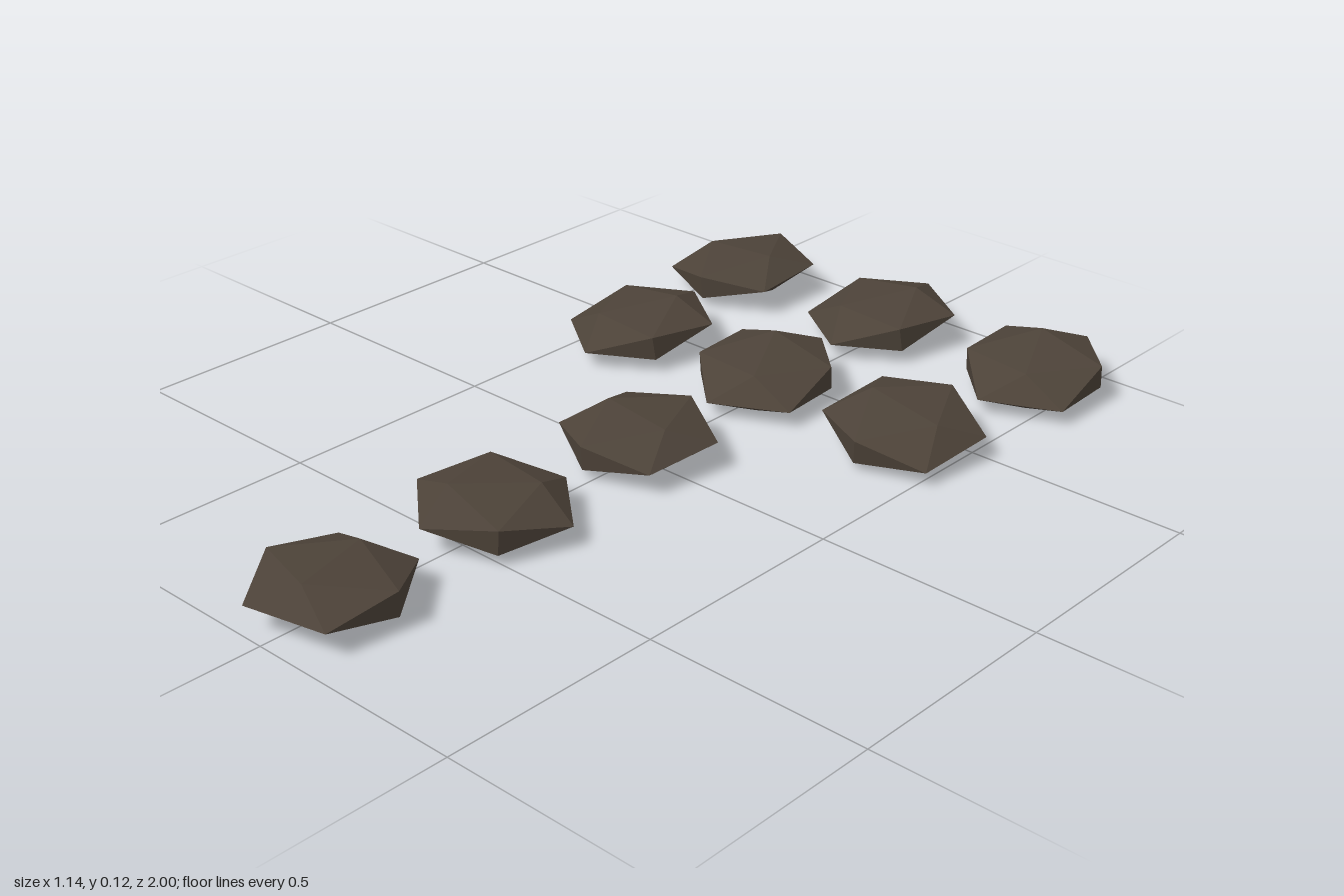
import * as THREE from 'three';

// Each stone: x, z, turn about y (degrees), slope towards +x, slope towards -z
const STONES = [
  [-0.423, -0.826, 0, 0.07, 0.08],
  [0, -0.828, 56, 0.08, 0.13],
  [0.426, -0.828, 113.3, -0.06, 0.16],
  [-0.377, -0.413, 55, 0.08, 0.13],
  [0, -0.413, 115.5, -0.05, 0.15],
  [0.381, -0.413, -6, -0.1, 0.13],
  [0, 0, -7.5, 0, 0.08],
  [0, 0.413, 49.4, -0.07, 0],
  [0, 0.826, 104.3, -0.03, 0],
];

export function createModel() {
  const model = new THREE.Group();
  model.name = 'steppingStones';

  const stoneBrown = new THREE.MeshStandardMaterial({ color: 0x4c4238, flatShading: true });
  stoneBrown.name = 'stoneBrown';

  // Flattened twenty-sided rock shared by every stone
  const rock = new THREE.IcosahedronGeometry(0.176, 0);
  rock.scale(1, 0.3, 1);

  STONES.forEach(([x, z, turn, slopeX, slopeZ], i) => {
    const stone = new THREE.Mesh(rock, stoneBrown);
    stone.name = `steppingStone${i + 1}`;
    stone.position.set(x, 0.063, z);
    // Turn first, then tilt
    stone.rotation.set(slopeZ, THREE.MathUtils.degToRad(turn), slopeX, 'XZY');
    model.add(stone);
  });

  return model;
}
